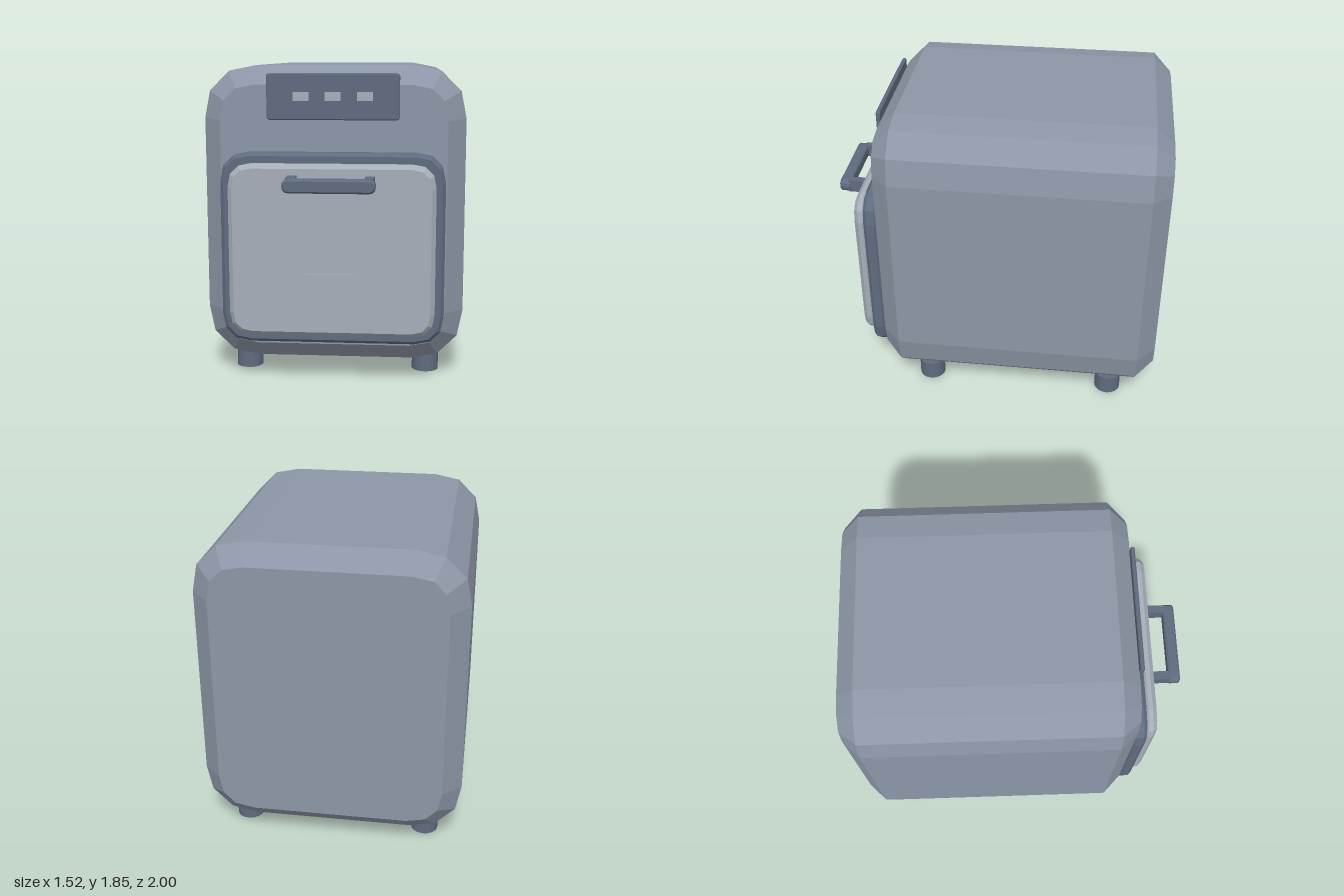
import * as THREE from 'three';

const material = (color) => new THREE.MeshStandardMaterial({ color });

// Chamfered slab with rounded corners: overall half width, y range, z range,
// corner radius of the end faces, chamfer size and corner steps.
function slab(halfW, y0, y1, z0, z1, radius, bevel, steps) {
  const x = halfW - bevel, b = y0 + bevel, t = y1 - bevel, r = radius;
  const s = new THREE.Shape();
  s.moveTo(-x + r, b);
  s.lineTo(x - r, b);
  s.quadraticCurveTo(x, b, x, b + r);
  s.lineTo(x, t - r);
  s.quadraticCurveTo(x, t, x - r, t);
  s.lineTo(-x + r, t);
  s.quadraticCurveTo(-x, t, -x, t - r);
  s.lineTo(-x, b + r);
  s.quadraticCurveTo(-x, b, -x + r, b);
  const geometry = new THREE.ExtrudeGeometry(s, {
    depth: z1 - z0 - 2 * bevel, curveSegments: steps,
    bevelEnabled: true, bevelSegments: 1, bevelSize: bevel, bevelThickness: bevel,
  });
  return geometry.translate(0, 0, z0 + bevel);
}

export function createModel() {
  const model = new THREE.Group();
  model.name = 'countertopOven';
  const shell = material(0x8c96a6);
  const dark = material(0x5f6b7e);
  const light = material(0xa6aeb8);

  const add = (name, geometry, mat, x = 0, y = 0, z = 0) => {
    const mesh = new THREE.Mesh(geometry, mat);
    mesh.name = name;
    mesh.position.set(x, y, z);
    model.add(mesh);
    return mesh;
  };

  // Housing, door surround and door
  add('body', slab(0.758, 0.113, 1.846, -1, 0.678, 0.205, 0.107, 3), shell);
  add('doorFrame', slab(0.642, 0.25, 1.36, 0.676, 0.762, 0.15, 0.02, 3), dark);
  add('door', slab(0.588, 0.31, 1.303, 0.755, 0.832, 0.11, 0.026, 3), light);
  add('doorSlot', new THREE.BoxGeometry(0.27, 0.014, 0.012), light, 0, 0.677, 0.856);

  // Control panel with three buttons
  add('controlPanel', slab(0.378, 1.54, 1.803, 0.676, 0.7, 0.012, 0.006, 2), dark);
  for (const x of [-0.182, 0, 0.182]) {
    add('button', new THREE.BoxGeometry(0.09, 0.05, 0.014), light, x, 1.673, 0.699);
  }

  // Handle bar on two posts
  add('handleBar', slab(0.257, 1.163, 1.24, 0.93, 1, 0.028, 0.01, 3), dark);
  for (const side of [-1, 1]) {
    add('handlePost', new THREE.BoxGeometry(0.052, 0.076, 0.12), dark, side * 0.219, 1.202, 0.885);
  }

  // Feet
  const foot = new THREE.CylinderGeometry(0.08, 0.08, 0.12, 20);
  for (const x of [-0.543, 0.543]) {
    for (const z of [0.41, -0.73]) add('foot', foot, dark, x, 0.06, z);
  }

  return model;
}
